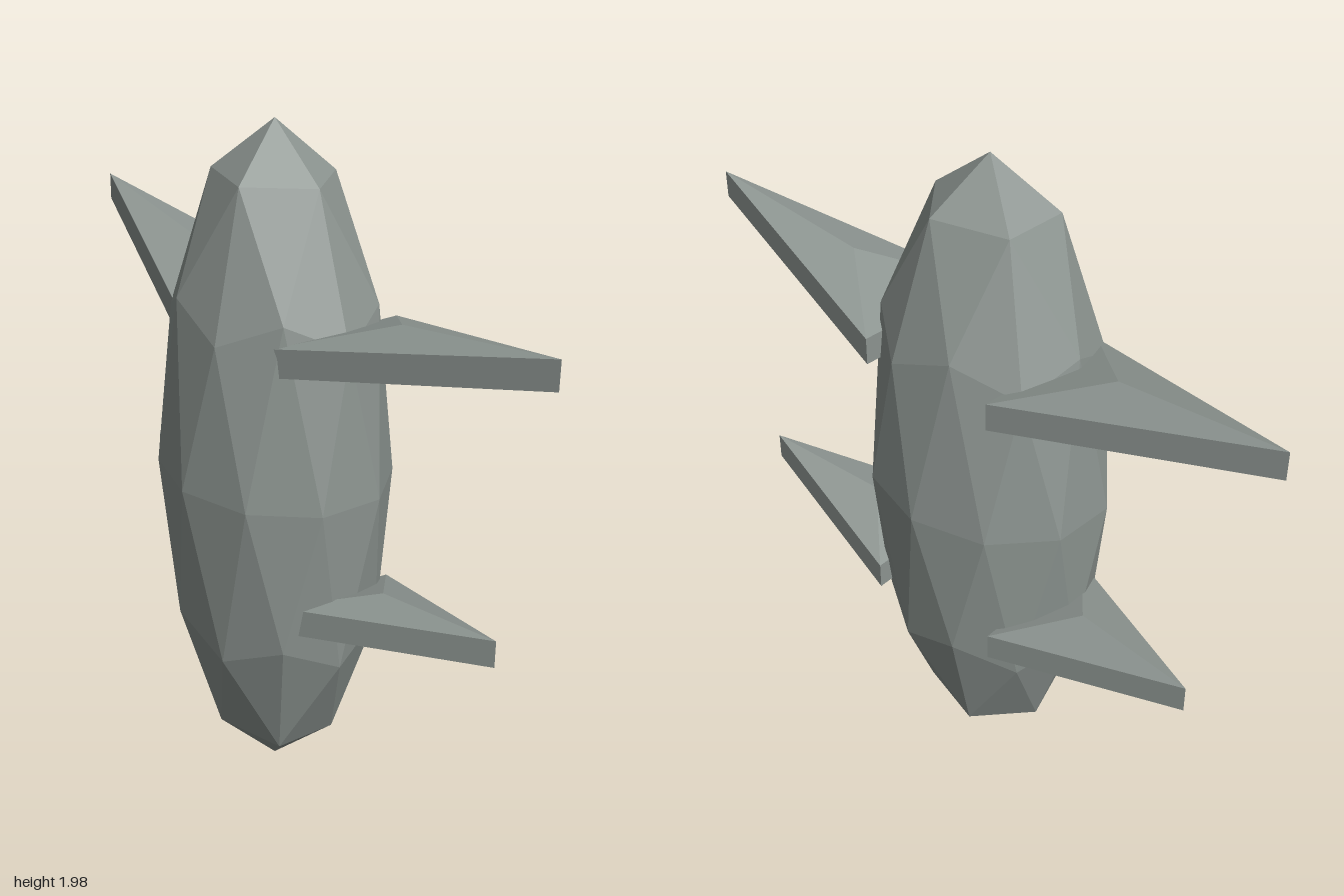
import * as THREE from 'three';

const hull = new THREE.MeshStandardMaterial({ color: 0x8e9692 });
hull.name = 'greyGreen';

// Faceted egg-shaped body: a once-divided icosahedron with one corner pointing up
function bodyGeometry() {
  const g = new THREE.IcosahedronGeometry(1, 1);
  g.rotateX(-Math.atan2((1 + Math.sqrt(5)) / 2, 1));
  g.rotateY(Math.PI / 2);
  g.scale(0.372, 0.988, 0.313);
  g.translate(0, 0.992, 0);
  g.computeVertexNormals();
  return g;
}

// Triangular fin: front root, tip and rear root corners (upper face), with a raised centre.
// side is 1 for left (+x) and -1 for right
function finGeometry(corners, thickness, side) {
  const top = corners.map(c => new THREE.Vector3(...c));
  const down = new THREE.Vector3(0, -thickness, 0);
  const bottom = top.map(v => v.clone().add(down));
  const centre = top[0].clone().add(top[1]).add(top[2]).divideScalar(3);
  const peak = centre.clone().add(new THREE.Vector3(0, 0.041, 0));
  const belly = centre.clone().add(down).add(new THREE.Vector3(0, -0.013, 0));

  const points = [];
  const tri = (a, b, c) => points.push(...(side > 0 ? [a, b, c] : [a, c, b]));
  for (let i = 0; i < 3; i++) {
    const j = (i + 1) % 3;
    tri(top[i], top[j], peak);
    tri(bottom[j], bottom[i], belly);
    tri(top[i], bottom[j], top[j]);
    tri(top[i], bottom[i], bottom[j]);
  }
  const g = new THREE.BufferGeometry().setFromPoints(
    points.map(p => new THREE.Vector3(p.x * side, p.y, p.z)));
  g.computeVertexNormals();
  return g;
}

export function createModel() {
  const model = new THREE.Group();
  const add = (name, geometry) => {
    const mesh = new THREE.Mesh(geometry, hull);
    mesh.name = name;
    model.add(mesh);
  };

  add('body', bodyGeometry());

  // Corner order: front root, tip, rear root
  const upper = [[0.22, 1.448, 0.182], [1, 1.608, -0.075], [0.22, 1.45, -0.248]];
  const lower = [[0.22, 0.678, 0.16], [0.815, 0.765, -0.115], [0.22, 0.652, -0.242]];
  for (const [label, side] of [['left', 1], ['right', -1]]) {
    add(label + 'UpperFin', finGeometry(upper, 0.08, side));
    add(label + 'LowerFin', finGeometry(lower, 0.08, side));
  }
  return model;
}
